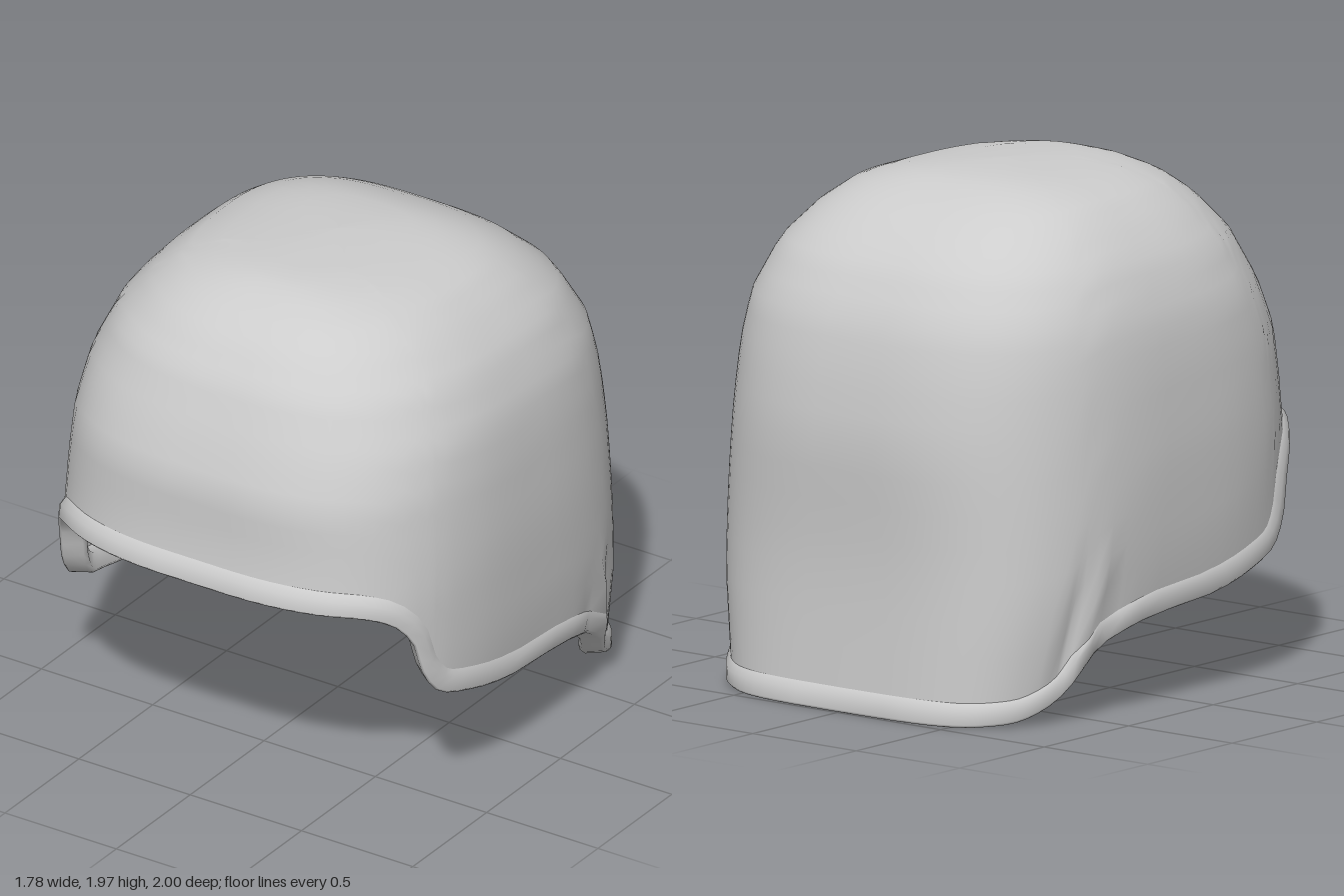
import * as THREE from 'three';

const TOP = 1.965, HALF = 48, RAD = Math.PI / 180;

// Body stations from top to bottom: height, half-width, front reach, back reach
const STATIONS = [
  [1.965, 0, 0, 0], [1.955, 0.2, 0.38, 0.24], [1.93, 0.38, 0.48, 0.36], [1.88, 0.53, 0.59, 0.49],
  [1.8, 0.635, 0.695, 0.63], [1.67, 0.75, 0.8, 0.78], [1.48, 0.835, 0.885, 0.89], [1.3, 0.865, 0.95, 0.935],
  [1.05, 0.885, 0.955, 0.97], [0.9, 0.89, 0.975, 0.965], [0.6, 0.885, 0.97, 0.95], [0.4, 0.865, 0.97, 0.955],
  [0.2, 0.82, 0.97, 0.965], [0, 0.78, 0.97, 0.975],
];

// Lower edge of one half, from brow to nape: angle in degrees, height
const EDGE = [
  [0, 0.9], [25, 0.892], [40, 0.875], [49, 0.83], [55, 0.74], [58, 0.61], [64, 0.5], [75, 0.44],
  [90, 0.37], [100, 0.315], [107, 0.235], [113.5, 0.11], [126, 0.03], [143, 0.005], [180, 0],
];

// Point on the body at an angle (0 = front) and height, as a rounded-square section
function bodyPoint(angle, y, scale = 1) {
  let k = 0;
  while (k < STATIONS.length - 2 && y < STATIONS[k + 1][0]) k++;
  const a = STATIONS[k], b = STATIONS[k + 1];
  const t = THREE.MathUtils.clamp((a[0] - y) / (a[0] - b[0]), 0, 1);
  const [w, front, back] = [1, 2, 3].map((i) => a[i] + (b[i] - a[i]) * t);
  const s = Math.sin(angle), c = Math.cos(angle);
  const low = THREE.MathUtils.clamp((1 - y) / 0.9, 0, 1);
  const n = c < 0 ? 2.9 + low : 2.5 + 0.5 * THREE.MathUtils.clamp((1.9 - y) / 0.8, 0, 1);
  const power = (v) => Math.sign(v) * Math.abs(v) ** (2 / n);
  // small crumpled flare at the rear lower corners
  const d = (Math.acos(c) / RAD - 110) / 8;
  const flare = 1 + 0.035 * Math.exp(-d * d) * Math.exp(-(((y - 0.35) / 0.15) ** 2)) * Math.cos(d * 4);
  return new THREE.Vector3(
    w * power(s) * scale * flare,
    y - (scale < 1 ? (1 - scale) * Math.max(0, y - 1) : 0),
    (c < 0 ? back : front) * power(c) * scale * flare,
  );
}

// Closed list of columns: edge position and the matching line one band-width up the shell
function makeColumns(band) {
  const curve = new THREE.CatmullRomCurve3(
    EDGE.map(([d, y]) => new THREE.Vector3(d * RAD * 0.9, y, 0)), false, 'centripetal');
  const half = [];
  for (let i = 0; i <= HALF; i++) {
    const p = curve.getPointAt(i / HALF), t = curve.getTangentAt(i / HALF);
    const end = i === 0 || i === HALF;
    const up = end ? [0, 1] : [-t.y, t.x];
    half.push({
      edge: [p.x / 0.9, p.y],
      inset: [(p.x + up[0] * band) / 0.9, p.y + up[1] * band],
    });
  }
  const flip = ([a, y]) => [2 * Math.PI - a, y];
  const other = half.slice(1, -1).reverse().map((c) => ({ edge: flip(c.edge), inset: flip(c.inset) }));
  return [...half, ...other];
}

// Skin rows of points that wrap round the body
function skin(rows, name, material) {
  const n = rows[0].length, index = [];
  for (let j = 0; j < rows.length - 1; j++) {
    for (let i = 0; i < n; i++) {
      const a = j * n + i, b = j * n + (i + 1) % n;
      index.push(a, b, b + n, a, b + n, a + n);
    }
  }
  const geometry = new THREE.BufferGeometry().setFromPoints(rows.flat());
  geometry.setIndex(index);
  geometry.computeVertexNormals();
  const mesh = new THREE.Mesh(geometry, material);
  mesh.name = name;
  return mesh;
}

export function createModel() {
  const group = new THREE.Group();
  group.name = 'helmet';
  const grey = new THREE.MeshStandardMaterial({ color: 0xcccccc });
  grey.name = 'light grey';
  const columns = makeColumns(0.09);

  // Dome rows climb from the band to the crown, packed closer near the top
  const domeRows = (scale) => {
    const rows = [];
    for (let j = 0; j <= 26; j++) {
      const t = 1 - (1 - j / 26) ** 2.2;
      rows.push(columns.map(({ inset: [a, y] }) => bodyPoint(a, y + (TOP - y) * t, scale)));
    }
    return rows;
  };
  group.add(skin(domeRows(1), 'outerShell', grey));
  group.add(skin(domeRows(0.98).reverse(), 'innerLining', grey));

  // Raised rim: down the inside, under the edge and up the outside (position on band, scale)
  const profile = [[1, 0.98], [0.85, 0.94], [0.15, 0.925], [0, 0.94], [0, 1.015], [0.12, 1.025], [0.7, 1.02], [1, 1]];
  const rim = profile.map(([t, scale]) => columns.map(({ edge, inset }) => bodyPoint(
    edge[0] + (inset[0] - edge[0]) * t, edge[1] + (inset[1] - edge[1]) * t, scale)));
  group.add(skin(rim, 'rimTrim', grey));
  return group;
}
